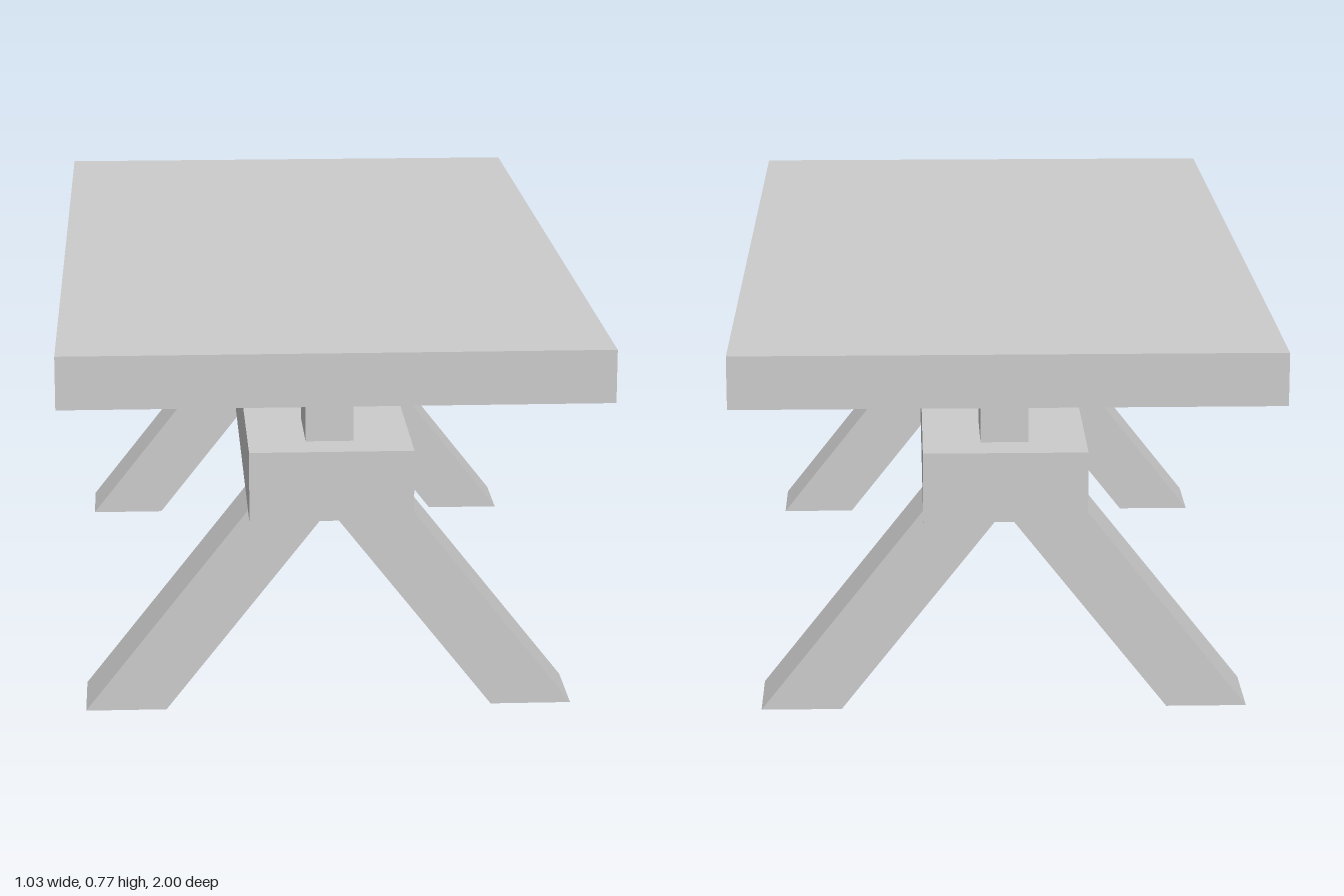
import * as THREE from 'three';

const material = new THREE.MeshStandardMaterial({ color: 0xcccccc, flatShading: true });

// Box given by its width, depth, bottom and top heights, and z centre
function slab(name, width, depth, y0, y1, z = 0) {
  const mesh = new THREE.Mesh(new THREE.BoxGeometry(width, y1 - y0, depth), material);
  mesh.name = name;
  mesh.position.set(0, (y0 + y1) / 2, z);
  return mesh;
}

// Slanted leg: a parallelogram extruded along z, splayed towards side (+1 or -1)
function leg(name, side, z, depth) {
  const outline = [[0, 0.403], [0.318, 0], [0.475, 0], [0.157, 0.403]];
  const shape = new THREE.Shape(outline.map(([x, y]) => new THREE.Vector2(x * side, y)));
  const geometry = new THREE.ExtrudeGeometry(shape, { depth, bevelEnabled: false });
  geometry.translate(0, 0, z - depth / 2);
  const mesh = new THREE.Mesh(geometry, material);
  mesh.name = name;
  return mesh;
}

export function createModel() {
  const table = new THREE.Group();
  table.name = 'table';

  // Top, the plate beneath it and the long beam
  table.add(slab('tableTop', 1.032, 2, 0.668, 0.769));
  table.add(slab('supportPlate', 0.728, 1.53, 0.629, 0.668));
  table.add(slab('beam', 0.314, 1.688, 0.403, 0.539));

  // A post and a pair of splayed legs at each end
  const depth = 0.167;
  for (const [end, z] of [['front', 0.682], ['back', -0.682]]) {
    table.add(slab(`${end}Post`, 0.092, depth, 0.539, 0.629, z));
    table.add(leg(`${end}LeftLeg`, 1, z, depth));
    table.add(leg(`${end}RightLeg`, -1, z, depth));
  }
  return table;
}
